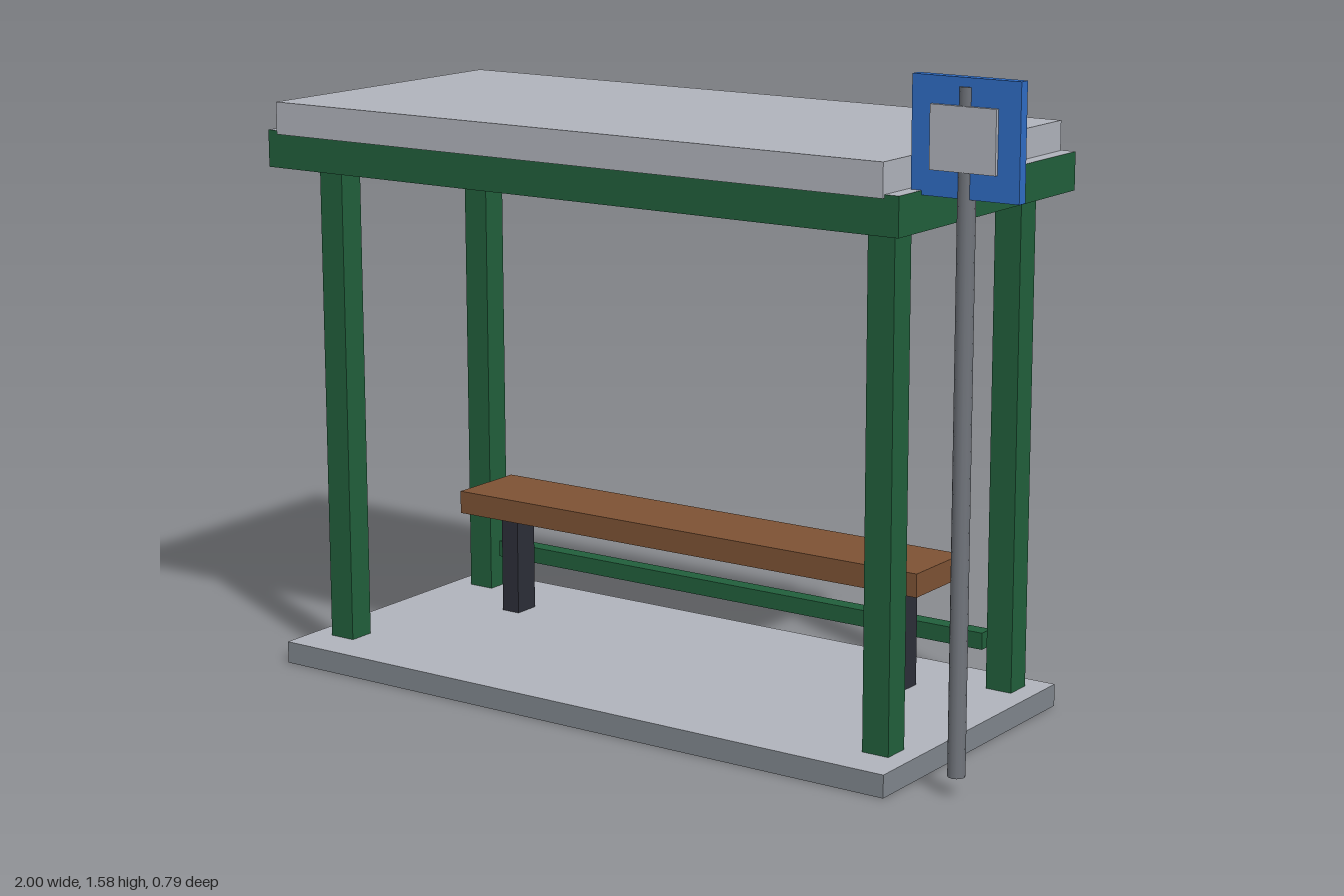
import * as THREE from 'three';

const mat = (name, color) => {
  const m = new THREE.MeshStandardMaterial({ color });
  m.name = name;
  return m;
};

export function createModel() {
  const group = new THREE.Group();
  group.name = 'busShelter';

  const lightGrey = mat('light grey', 0xb0b3bb);
  const concrete = mat('concrete grey', 0x80868d);
  const green = mat('green', 0x215f3b);
  const brown = mat('wood brown', 0x7d5234);
  const charcoal = mat('charcoal', 0x2c2e38);
  const steel = mat('steel grey', 0x70747b);
  const blue = mat('sign blue', 0x2f6cc4);

  // Box given by its extents on each axis
  const box = (name, [x0, x1], [y0, y1], [z0, z1], material) => {
    const mesh = new THREE.Mesh(new THREE.BoxGeometry(x1 - x0, y1 - y0, z1 - z0), material);
    mesh.position.set((x0 + x1) / 2, (y0 + y1) / 2, (z0 + z1) / 2);
    mesh.name = name;
    group.add(mesh);
    return mesh;
  };
  // Box materials with a differently coloured top face
  const topped = (side, top) => [side, side, top, side, side, side];

  // Floor and roof
  box('floorSlab', [-0.985, 0.745], [0, 0.054], [-0.393, 0.387], topped(concrete, lightGrey));
  box('roofFrame', [-1, 0.765], [1.243, 1.333], [-0.393, 0.387], topped(green, lightGrey));
  box('roofSlab', [-0.967, 0.73], [1.325, 1.403], [-0.386, 0.394], lightGrey);

  // Four corner posts
  for (const x of [-0.897, 0.66]) {
    for (const z of [-0.306, 0.249]) {
      box('post', [x - 0.034, x + 0.034], [0.05, 1.25], [z - 0.034, z + 0.034], green);
    }
  }

  // Low rail between the back posts
  box('backRail', [-0.845, 0.606], [0.142, 0.183], [-0.327, -0.285], green);

  // Bench
  box('benchSeat', [-0.793, 0.555], [0.315, 0.372], [-0.273, -0.064], brown);
  for (const x of [-0.691, 0.45]) {
    box('benchLeg', [x - 0.025, x + 0.025], [0.05, 0.318], [-0.203, -0.134], charcoal);
  }

  // Stop sign on its pole
  const pole = new THREE.Mesh(new THREE.CylinderGeometry(0.02, 0.02, 1.515, 12), steel);
  pole.position.set(0.867, 0.8025, 0.281);
  pole.name = 'signPole';
  group.add(pole);
  box('signPanel', [0.738, 1], [1.323, 1.58], [0.268, 0.294], blue);
  box('signPlate', [0.787, 0.947], [1.38, 1.52], [0.259, 0.303], lightGrey);

  return group;
}
